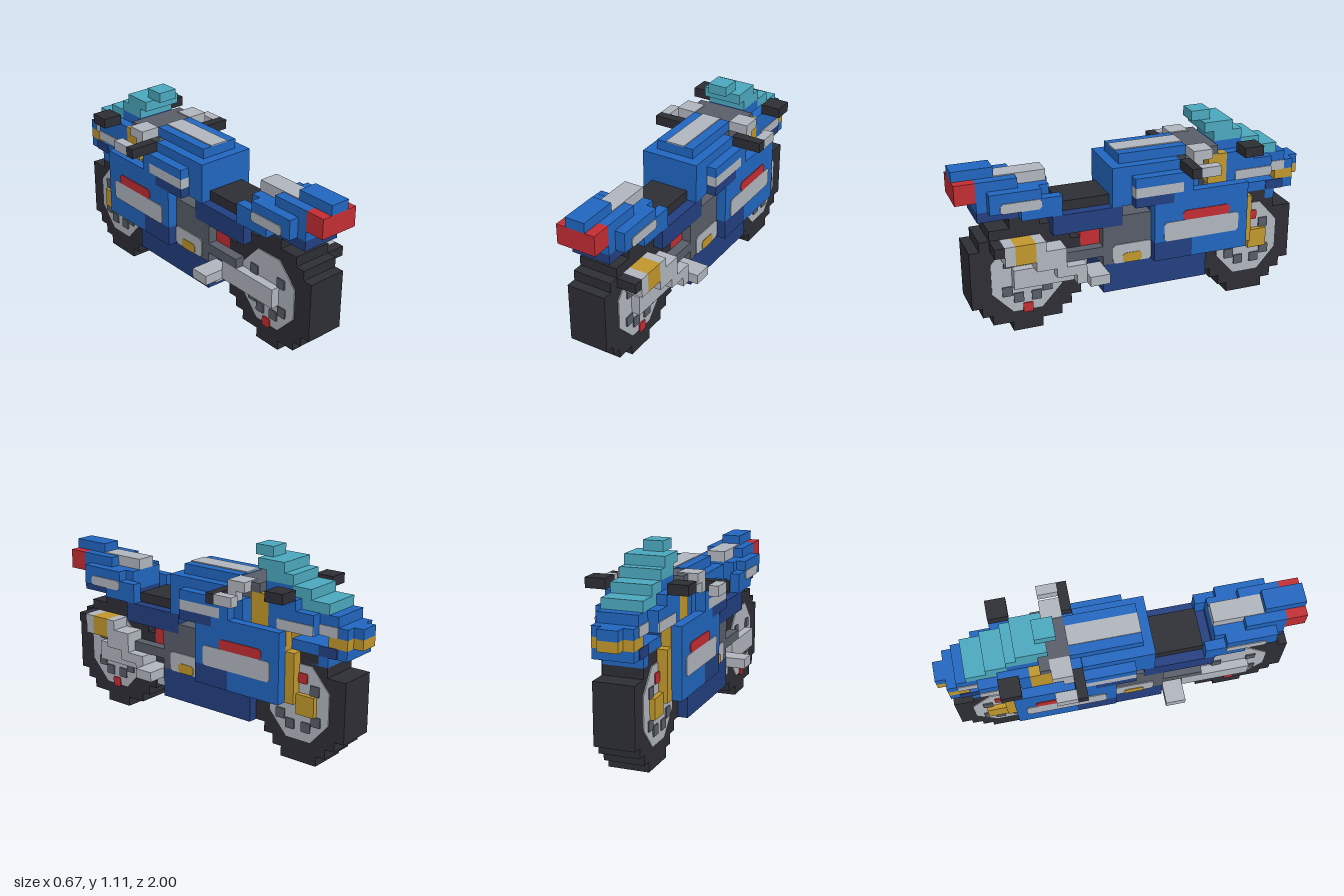
import * as THREE from 'three';

const U = 1 / 18; // one block
const mat = (name, color) => {
  const m = new THREE.MeshStandardMaterial({ color });
  m.name = name;
  return m;
};

export function createModel() {
  const model = new THREE.Group();
  model.name = 'motorcycle';
  const blue = mat('blue', 0x2166c0), navy = mat('dark blue', 0x223f80);
  const black = mat('black', 0x2d2d35), silver = mat('light grey', 0xb0b5bd);
  const grey = mat('dark grey', 0x585d68), red = mat('red', 0xc22d33);
  const gold = mat('gold', 0xc0962c), teal = mat('teal', 0x4ba8be);

  // Block between two corners, in block units
  const box = (name, m, x0, x1, y0, y1, z0, z1) => {
    const g = new THREE.BoxGeometry((x1 - x0) * U, (y1 - y0) * U, (z1 - z0) * U);
    g.translate((x0 + x1) / 2 * U, (y0 + y1) / 2 * U, (z0 + z1) / 2 * U);
    const mesh = new THREE.Mesh(g, m);
    mesh.name = name;
    model.add(mesh);
  };
  const mid = (name, m, w, y0, y1, z0, z1) => box(name, m, -w, w, y0, y1, z0, z1);
  const pair = (name, m, x0, x1, y0, y1, z0, z1) => {
    box(name, m, x0, x1, y0, y1, z0, z1);
    box(name, m, -x1, -x0, y0, y1, z0, z1);
  };
  // Thin painted panel with clipped corners, on both sides at distance x
  const panel = (name, m, x, y0, y1, z0, z1, c = 0.25) => {
    const s = new THREE.Shape([[z0 + c, y0], [z1 - c, y0], [z1, y0 + c], [z1, y1 - c],
      [z1 - c, y1], [z0 + c, y1], [z0, y1 - c], [z0, y0 + c]]
      .map(([z, y]) => new THREE.Vector2(-z * U, y * U)));
    for (const side of [1, -1]) {
      const g = new THREE.ExtrudeGeometry(s, { depth: 0.007, bevelEnabled: false });
      g.rotateY(Math.PI / 2);
      g.translate(side > 0 ? x * U - 0.002 : -x * U - 0.005, 0, 0);
      const mesh = new THREE.Mesh(g, m);
      mesh.name = name;
      model.add(mesh);
    }
  };

  // Stepped tyres: [y0, y1, half length]
  const wheel = (name, zc, rows, rz) => {
    for (const [y0, y1, h] of rows) mid(name + 'Tyre', black, 2, y0, y1, zc - h, zc + h);
    const g = new THREE.CylinderGeometry(U, U, 4 * U + 0.012, 8);
    g.rotateY(Math.PI / 8);
    g.rotateZ(Math.PI / 2);
    g.scale(1, 4.1, rz);
    g.translate(0, 6 * U, zc * U);
    const hub = new THREE.Mesh(g, silver);
    hub.name = name + 'Hub';
    model.add(hub);
    // Openings in the rim
    for (const [dz, y] of [[-2, 4], [2, 4], [0.9, 3.2], [-0.9, 3.2], [1.8, 7], [-1.8, 7]])
      panel(name + 'RimOpening', grey, 2.16, y, y + 1, zc + dz - 0.5, zc + dz + 0.5, 0.05);
  };
  wheel('rearWheel', 11.5, [[0, 1, 1.5], [1, 2, 3.5], [2, 3, 4.5], [3, 9, 5.5],
    [9, 10, 4.5], [10, 11, 3.5], [11, 12, 1.5]], 3.8);
  wheel('frontWheel', -12, [[0, 1, 2], [1, 2, 3], [2, 3, 4], [3, 9, 5],
    [9, 10, 3], [10, 11, 2]], 3.6);
  panel('rearValve', red, 2.18, 2, 3, 11, 12, 0.1);
  panel('frontValve', red, 2.18, 8, 9, -13, -12, 0.1);

  // Tail
  mid('tailFin', blue, 1, 16, 17, 14, 18);
  mid('tailLight', red, 2, 14, 16, 16, 18);
  mid('tailTop', blue, 2, 15, 16, 12, 16);
  mid('tailCore', blue, 2, 13, 15, 9, 16);
  mid('tailStrip', silver, 1, 15, 16.1, 9, 14);
  pair('tailPod', blue, 2, 3, 13, 15, 10, 15);
  pair('tailPodFront', blue, 2, 3, 12, 14, 8, 12);
  mid('tailUnderside', navy, 2, 12, 13, 9, 16);
  panel('tailStripe', silver, 3, 13, 14, 10, 14);

  // Seat and its base
  mid('seat', black, 2, 12, 13, 3, 8);
  mid('seatBase', navy, 3, 10, 12, 2, 9);

  // Engine, frame and belly
  mid('engine', grey, 2.99, 6, 11, -1, 4);
  panel('engineCover', silver, 3, 6, 8, -1, 3);
  panel('engineBadgePlate', gold, 3.06, 6, 7, 0, 2);
  mid('innerBody', navy, 2.98, 6, 12, -7, -1);
  mid('belly', navy, 3, 3, 6, -7, 4);
  mid('shock', red, 2, 8, 10, 4, 6);

  // Swingarm and foot pegs
  pair('swingarmTop', grey, 2, 3, 7, 8, 4, 8);
  pair('swingarm', silver, 2, 2.98, 5, 7, 6, 13);
  pair('swingarmMount', silver, 2, 2.9, 4, 6, 4, 5);
  pair('footPeg', silver, 2, 5, 5, 6, 4, 6);

  // Exhaust on the left side only
  box('exhaustTip', black, 2, 4, 9, 10, 14, 15);
  box('exhaustEnd', silver, 2, 4, 8, 10, 13, 14);
  box('exhaustBand', gold, 2, 4, 8, 10, 11, 13);
  box('exhaustCan', silver, 2, 4, 8, 10, 10, 11);
  box('exhaustMiddle', silver, 2, 4, 7, 9, 8, 11);
  box('exhaustPipe', silver, 2, 4, 6, 7, 6, 9);
  box('exhaustLower', silver, 2, 4, 5, 6, 4, 7);

  // Tank
  mid('tank', blue, 3, 12, 16, -4, 3);
  mid('tankFront', blue, 3, 12, 15, -6, -4);
  mid('tankTop', blue, 2, 16, 17, -5, 2);
  mid('tankStrip', silver, 1, 17, 17.1, -5, 2);
  pair('tankWingTop', blue, 3, 4, 14, 15, -5, 1);
  pair('tankWingStripe', silver, 3, 4, 13, 14, -4, 1);
  pair('tankWingEnd', blue, 3, 4, 13, 14, -5, -4);
  pair('tankWingBase', navy, 3, 4, 12, 13, -3, 1);

  // Side fairings
  pair('fairingUpper', blue, 3, 4, 8, 12, -11, -1);
  pair('fairingTop', blue, 3, 4, 12, 13, -11, -3);
  pair('fairingLower', blue, 3, 4, 6, 8, -11, -5);
  pair('fairingLowerRear', navy, 3, 4, 6, 8, -5, -1);
  panel('fairingRedStripe', red, 4, 10, 11, -9, -4);
  panel('fairingPanel', silver, 4, 8, 10, -10, -2);

  // Fork and steering
  pair('forkLower', gold, 2, 3, 6, 11, -12, -11);
  pair('forkMiddle', gold, 2, 2.95, 10, 13, -11, -8);
  pair('forkUpper', gold, 2, 3, 13, 16, -9, -7);
  pair('frontCaliper', gold, 2, 2.6, 5, 7, -14, -12);
  mid('steeringColumn', grey, 2, 12, 16, -9, -7);
  mid('forkClamp', grey, 3, 16, 16.9, -8, -7);
  mid('dashboard', grey, 2, 15, 16.9, -7, -5);

  // Handlebars and mirrors
  pair('handlebar', silver, 2, 4, 16, 17, -7, -5);
  pair('handlebarUnder', silver, 3, 4, 15, 16, -6, -5);
  pair('grip', black, 3, 6, 15, 16, -5, -4);
  pair('lever', silver, 5, 6, 15, 16, -7, -5);
  pair('mirror', black, 3, 5, 16, 17, -12, -10);

  // Windscreen steps
  for (const [w, y, z0, z1] of [[1, 19, -8, -6], [2, 18, -10, -7], [2, 17, -11, -8],
    [2, 16, -13, -11], [2, 15, -15, -12]])
    mid('windscreen', teal, w, y, y + 1, z0, z1);

  // Nose and headlight
  mid('screenBase', blue, 2, 16, 17, -11, -8);
  mid('noseTop', blue, 3, 15, 16, -12, -9);
  mid('nose', blue, 3, 13, 15, -14, -9);
  mid('noseFront', blue, 2, 14, 15, -16, -14);
  mid('noseLower', blue, 2, 13, 14, -17, -14);
  mid('noseTip', blue, 1, 13, 14, -18, -17);
  panel('noseStripe', silver, 3, 13, 14, -14, -10, 0.1);
  panel('noseStripeFront', silver, 2, 13, 14, -16, -14, 0.1);
  mid('headlight', gold, 2, 12, 13, -17, -15);
  mid('headlightTip', gold, 1, 12, 13, -18, -17);

  // Front mudguard
  mid('mudguardTop', blue, 2, 11, 12, -17, -11);
  mid('mudguard', blue, 2, 10, 11, -15, -11);
  panel('mudguardShade', navy, 2, 11, 12, -16, -14, 0.1);
  return model;
}
